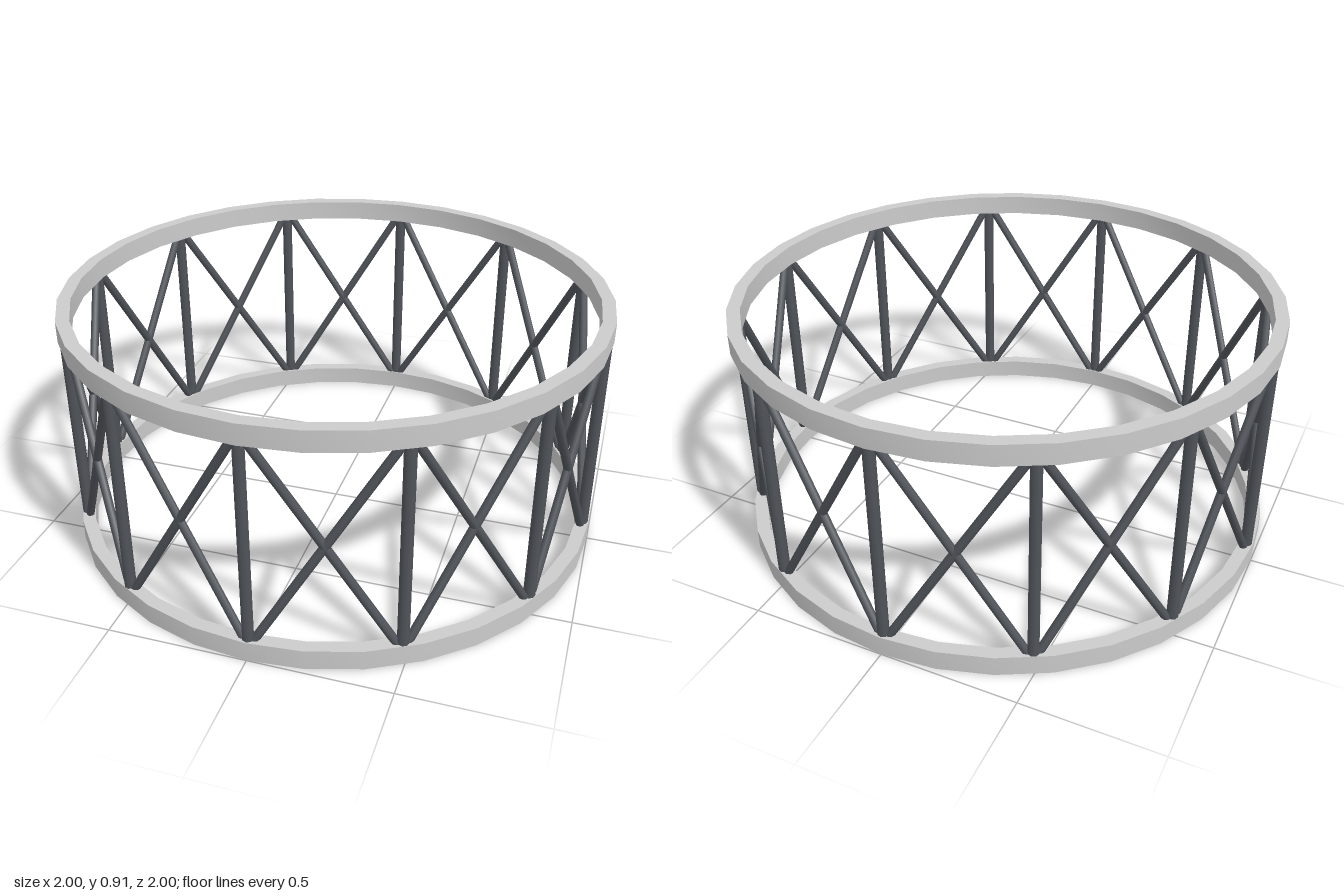
import * as THREE from 'three';
import { toCreasedNormals } from 'three/addons/utils/BufferGeometryUtils.js';

const HEIGHT = 0.905, RING_H = 0.075, OUTER = 1, INNER = 0.952;
const BAYS = 12, POST_R = 0.021, BRACE_R = 0.0155, RADIUS = 0.975;

const ringMaterial = new THREE.MeshStandardMaterial({ color: 0xcccccc });
const strutMaterial = new THREE.MeshStandardMaterial({ color: 0x50545a });

// Flat hoop with a rectangular section
function makeRing(name, y) {
  const profile = [
    [INNER, 0], [OUTER, 0], [OUTER, RING_H], [INNER, RING_H], [INNER, 0],
  ].map(([r, h]) => new THREE.Vector2(r, h));
  const geometry = toCreasedNormals(new THREE.LatheGeometry(profile, 32), 0.6);
  const ring = new THREE.Mesh(geometry, ringMaterial);
  ring.name = name;
  ring.position.y = y;
  return ring;
}

// Round bar between two points
function makeStrut(name, a, b, radius) {
  const dir = b.clone().sub(a);
  const strut = new THREE.Mesh(new THREE.CylinderGeometry(radius, radius, dir.length(), 8), strutMaterial);
  strut.name = name;
  strut.position.copy(a).lerp(b, 0.5);
  strut.quaternion.setFromUnitVectors(new THREE.Vector3(0, 1, 0), dir.normalize());
  return strut;
}

// Node on the truss circle
function node(i, y) {
  const a = (i / BAYS) * Math.PI * 2;
  return new THREE.Vector3(Math.sin(a) * RADIUS, y, Math.cos(a) * RADIUS);
}

export function createModel() {
  const model = new THREE.Group();
  model.name = 'ringTruss';
  model.add(makeRing('bottomRing', 0), makeRing('topRing', HEIGHT - RING_H));

  // Struts end at the mid-height of each hoop
  const low = RING_H / 2, high = HEIGHT - RING_H / 2;
  for (let i = 0; i < BAYS; i++) {
    model.add(
      makeStrut('post', node(i, low), node(i, high), POST_R),
      makeStrut('risingBrace', node(i, low), node(i + 1, high), BRACE_R),
      makeStrut('fallingBrace', node(i, high), node(i + 1, low), BRACE_R),
    );
  }
  return model;
}
